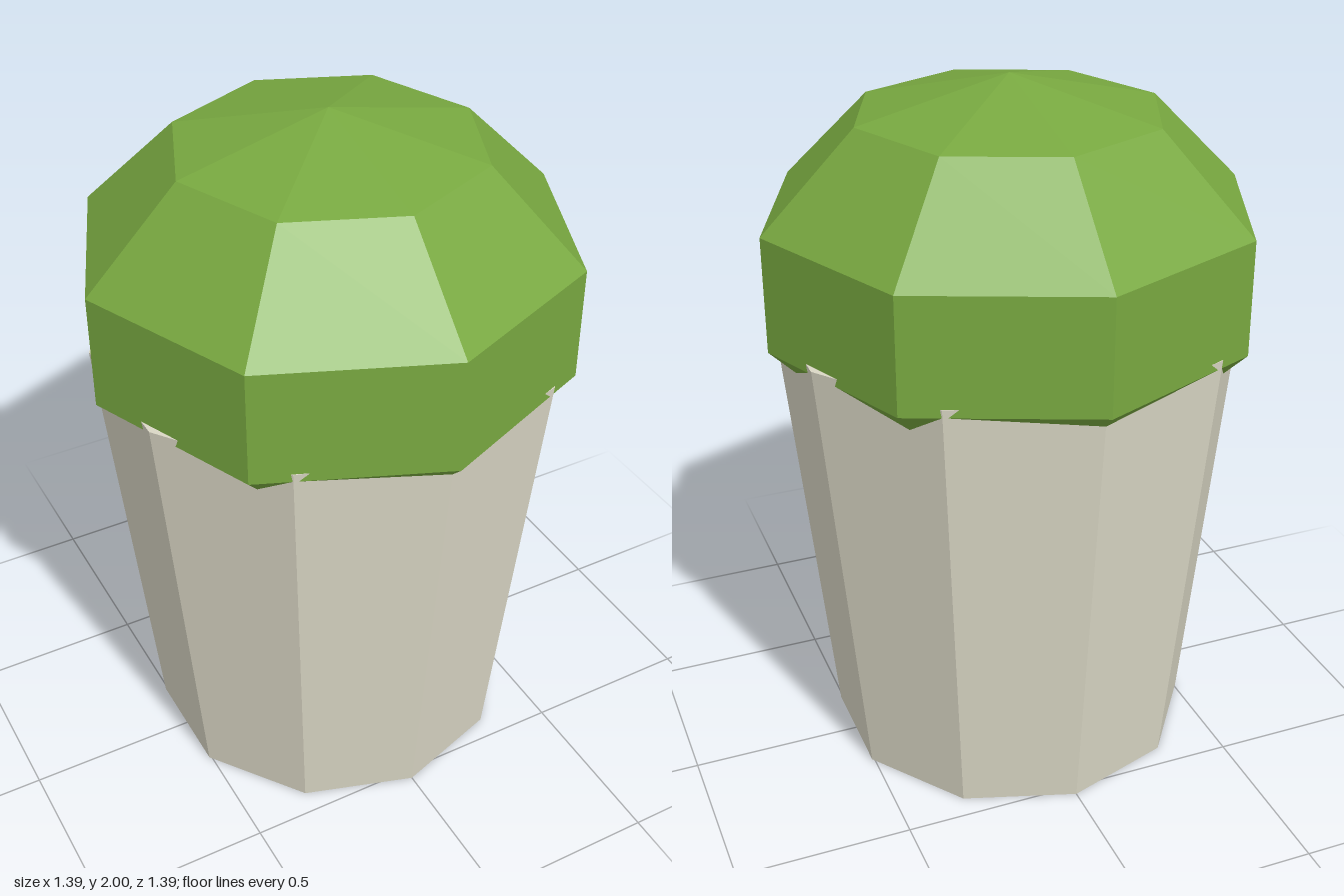
import * as THREE from 'three';

function addPart(group, name, geometry, color, y) {
  const material = new THREE.MeshStandardMaterial({ color, flatShading: true });
  const mesh = new THREE.Mesh(geometry, material);
  mesh.name = name;
  mesh.position.y = y;
  group.add(mesh);
  return mesh;
}

export function createModel() {
  const group = new THREE.Group();
  group.name = 'cupWithDome';

  // Tapered ten-sided cup, its rim corners just poking through the dome
  const cupHeight = 1.33;
  addPart(group, 'cup', new THREE.CylinderGeometry(0.664, 0.533, cupHeight, 10), 0xdad7c5, cupHeight / 2);

  // Flattened eight-sided dome, its lower part sunk into the cup
  const dome = new THREE.SphereGeometry(0.731, 8, 5);
  dome.scale(1, 0.53 / 0.731, 1);
  addPart(group, 'domeTop', dome, 0x78a840, 1.47);

  return group;
}
